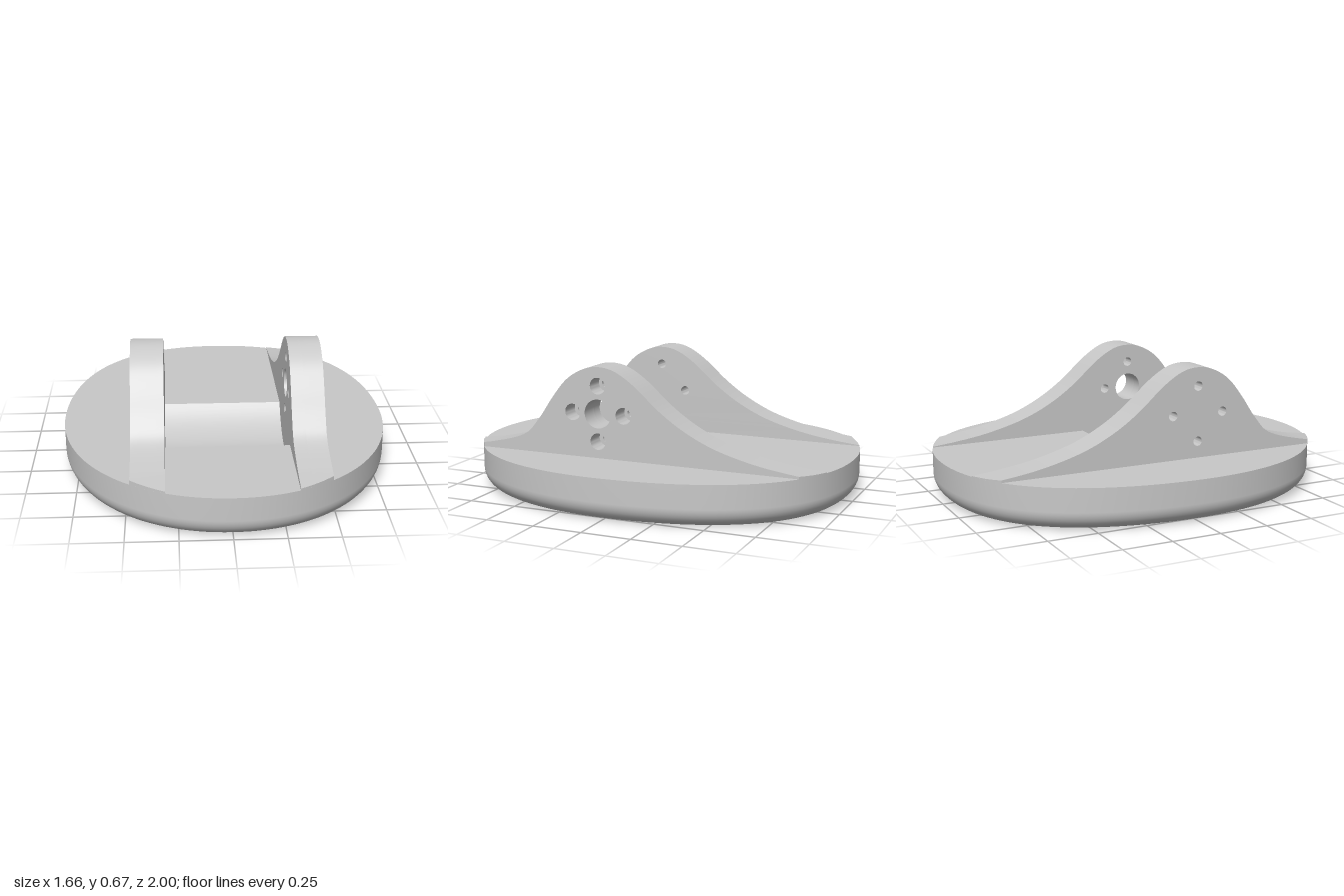
import * as THREE from 'three';
import { toCreasedNormals } from 'three/addons/utils/BufferGeometryUtils.js';

const TOP = 0.213;              // height of the base
const FILLET = 0.095;           // rounding of the lower rim
const PIVOT = { z: 0.177, y: 0.437 };
const IN = 0.31, OUT = 0.474;   // cheek plate faces
const TROUGH = 0.275;           // half length of the trough opening

const grey = new THREE.MeshStandardMaterial({ color: 0xc8c8c8 });
grey.name = 'grey';

const v2 = (x, y) => new THREE.Vector2(x, y);
const bezier = (...p) => new THREE.CubicBezierCurve(...p.map(q => v2(...q))).getPoints(32);

// Linear lookup in a list of points, from one coordinate to the other
function lookup(points, from, to, value) {
  for (let i = 1; i < points.length; i++) {
    const a = points[i - 1], b = points[i];
    if ((a[from] - value) * (b[from] - value) <= 0 && a[from] !== b[from]) {
      return THREE.MathUtils.lerp(a[to], b[to], (value - a[from]) / (b[from] - a[from]));
    }
  }
  return points[points.length - 1][to];
}

// Egg-shaped outline as (x, z) points, broad at the back
const frontEdge = bezier([0, 1], [0.48, 1], [0.83, 0.6], [0.83, 0.03]);
const backEdge = bezier([0.83, 0.03], [0.83, -0.45], [0.65, -1], [0, -1]);
const half = [...frontEdge, ...backEdge.slice(1)];
const outline = [...half, ...half.slice(1, -1).reverse().map(p => v2(-p.x, p.y))];

function inset(points, d) {
  const n = points.length;
  return points.map((p, i) => {
    const t = points[(i + 1) % n].clone().sub(points[(i + n - 1) % n]).normalize();
    return v2(p.x + t.y * d, p.y - t.x * d);
  });
}

// Rim wall with rounded lower edge
function rimGeometry() {
  const levels = [[0, TOP]];
  for (let i = 0; i <= 10; i++) {
    const a = (i / 10) * Math.PI / 2;
    levels.push([FILLET * (1 - Math.cos(a)), FILLET * (1 - Math.sin(a))]);
  }
  const n = outline.length, pos = [], index = [];
  levels.forEach(([d, y], r) => {
    inset(outline, d).forEach((p, i) => {
      pos.push(p.x, y, p.y);
      if (r === 0) return;
      const j = (i + 1) % n;
      const a = r * n + i, b = r * n + j, c = a - n, e = b - n;
      index.push(a, b, c, b, e, c);
    });
  });
  const g = new THREE.BufferGeometry();
  g.setAttribute('position', new THREE.Float32BufferAttribute(pos, 3));
  g.setIndex(index);
  g.computeVertexNormals();
  return g;
}

// Top deck with the trough opening
function deckGeometry() {
  const shape = new THREE.Shape(outline.map(p => v2(p.x, -p.y)));
  const a = -(PIVOT.z - TROUGH), b = -(PIVOT.z + TROUGH);
  shape.holes.push(new THREE.Path([v2(-IN, a), v2(IN, a), v2(IN, b), v2(-IN, b)]));
  return new THREE.ShapeGeometry(shape).rotateX(-Math.PI / 2).translate(0, TOP, 0);
}

const troughRadius = Math.hypot(TROUGH, PIVOT.y - TOP);
const troughY = z => PIVOT.y - Math.sqrt(troughRadius ** 2 - (z - PIVOT.z) ** 2);

// Cylindrical trough floor
function troughGeometry() {
  const g = new THREE.PlaneGeometry(2 * IN, 2 * TROUGH, 1, 32).rotateX(-Math.PI / 2).translate(0, 0, PIVOT.z);
  const p = g.attributes.position;
  for (let i = 0; i < p.count; i++) p.setY(i, troughY(p.getZ(i)));
  g.computeVertexNormals();
  return g;
}

// Bell-shaped cheek profile as (z, y) points, front to back
const profile = new THREE.SplineCurve([
  [1, 0.215], [0.94, 0.222], [0.78, 0.247], [0.6, 0.3], [0.51, 0.39], [0.43, 0.505],
  [0.35, 0.6], [0.26, 0.655], [0.177, 0.672], [0.085, 0.655], [-0.02, 0.59], [-0.155, 0.474],
  [-0.29, 0.384], [-0.45, 0.311], [-0.66, 0.255], [-0.88, 0.223], [-1, 0.214],
].map(p => v2(...p))).getPoints(96);

// One cheek layer between two x positions; its ends follow the base outline
function cheekGeometry(x0, x1, smallRadius, centreRadius) {
  const pts = [v2(1, TOP), v2(1, 0.215)];
  pts.push(...profile.filter(p => p.x < 0.82 && p.x > -0.85), v2(-1, 0.214), v2(-1, TOP));
  for (let i = 0; i <= 32; i++) {
    const z = PIVOT.z - TROUGH + 2 * TROUGH * i / 32;
    pts.push(v2(z, troughY(z)));
  }
  const shape = new THREE.Shape(pts);
  const hole = (dz, dy, r) => shape.holes.push(
    new THREE.Path().absarc(PIVOT.z + dz, PIVOT.y + dy, r, 0, Math.PI * 2, true));
  [[0.14, 0], [-0.14, 0], [0, 0.14], [0, -0.14]].forEach(([dz, dy]) => hole(dz, dy, smallRadius));
  if (centreRadius) hole(0, 0, centreRadius);

  const g = new THREE.ExtrudeGeometry(shape, { depth: x1 - x0, steps: 4, bevelEnabled: false, curveSegments: 16 });
  g.rotateY(-Math.PI / 2).translate(x1, 0, 0);
  const p = g.attributes.position;
  for (let i = 0; i < p.count; i++) {
    const z = p.getZ(i);
    if (Math.abs(z) < 0.99) continue;
    const edge = lookup(z > 0 ? frontEdge : backEdge, 'x', 'y', Math.abs(p.getX(i)));
    p.setZ(i, edge);
    if (p.getY(i) > TOP + 0.0005) p.setY(i, lookup(profile, 'x', 'y', edge));
  }
  return toCreasedNormals(g, 0.5);
}

export function createModel() {
  const model = new THREE.Group();
  model.name = 'pivotBracket';
  const add = (parent, name, geometry) => {
    const mesh = new THREE.Mesh(geometry, grey);
    mesh.name = name;
    parent.add(mesh);
  };

  const base = new THREE.Group();
  base.name = 'base';
  add(base, 'rim', rimGeometry());
  add(base, 'deck', deckGeometry());
  add(base, 'trough', troughGeometry());
  add(base, 'underside', new THREE.ShapeGeometry(
    new THREE.Shape(inset(outline, FILLET))).rotateX(Math.PI / 2));

  // Left cheek has a centre bore and counterbored screw holes
  const left = new THREE.Group();
  left.name = 'leftCheek';
  add(left, 'innerLayer', cheekGeometry(IN, 0.374, 0.024, 0.073));
  add(left, 'counterboredLayer', cheekGeometry(0.374, OUT, 0.042, 0.073));

  model.add(base, left);
  add(model, 'rightCheek', cheekGeometry(-OUT, -IN, 0.024, 0));
  return model;
}
